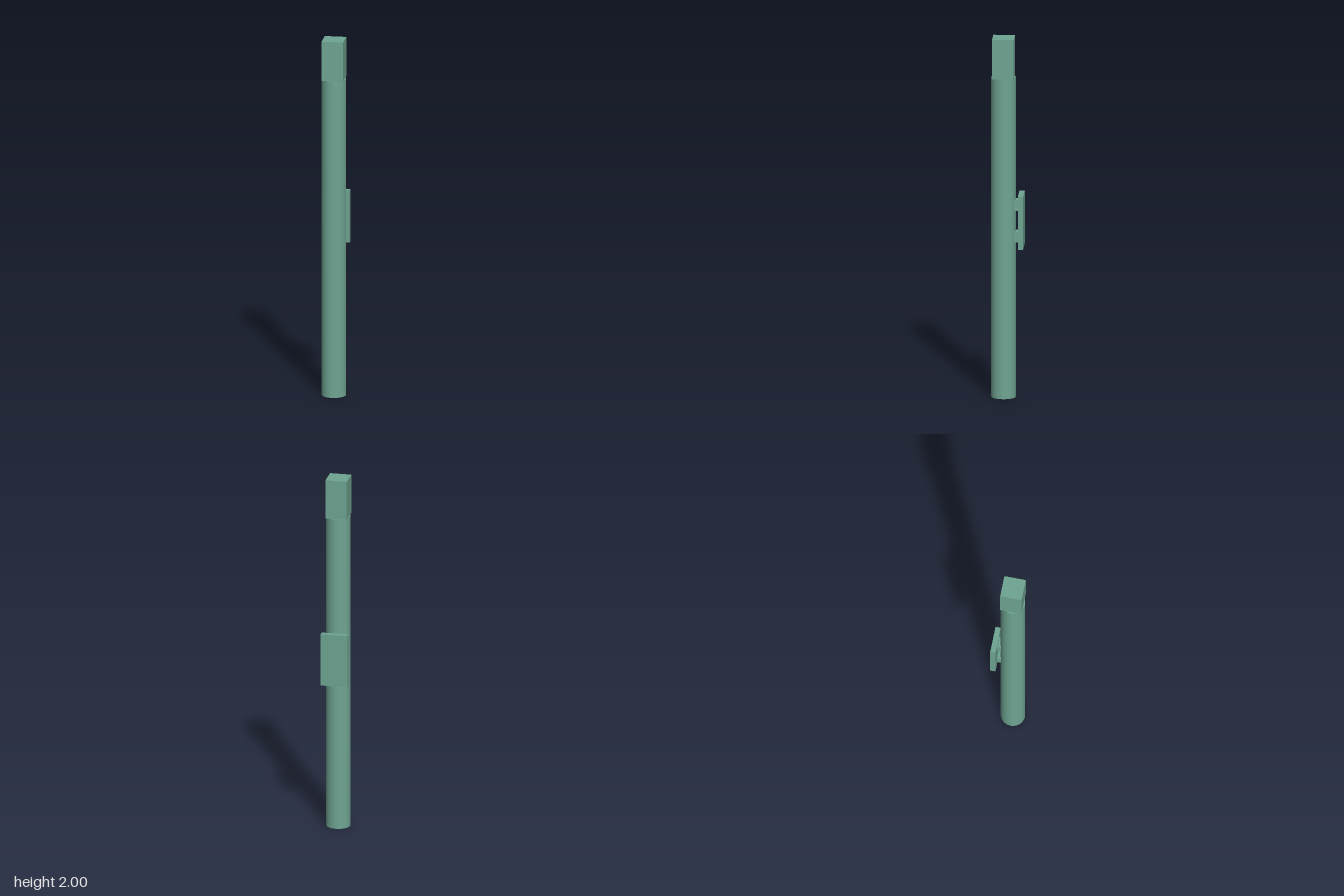
import * as THREE from 'three';

const AXIS_Z = 0.021; // shared axis of tube and head block

export function createModel() {
  const model = new THREE.Group();
  const green = new THREE.MeshStandardMaterial({ color: 0x6fa592 });
  green.name = 'sage green';

  const add = (name, geometry, x, y, z) => {
    const mesh = new THREE.Mesh(geometry, green);
    mesh.name = name;
    mesh.position.set(x, y, z);
    model.add(mesh);
  };

  // Hollow tube: round outline with a bore, extruded upwards
  const outer = 0.0665, bore = 0.028, tubeHeight = 1.78;
  const ring = new THREE.Shape().absarc(0, 0, outer, 0, Math.PI * 2, false);
  ring.holes.push(new THREE.Path().absarc(0, 0, bore, 0, Math.PI * 2, true));
  const tube = new THREE.ExtrudeGeometry(ring, { depth: tubeHeight, bevelEnabled: false, curveSegments: 48 });
  // Smooth the walls: radial normals, outward outside and inward in the bore
  const p = tube.attributes.position, n = tube.attributes.normal;
  for (let i = 0; i < p.count; i++) {
    if (Math.abs(n.getZ(i)) > 0.5) continue;
    const r = Math.hypot(p.getX(i), p.getY(i));
    const s = (r > (outer + bore) / 2 ? 1 : -1) / r;
    n.setXYZ(i, p.getX(i) * s, p.getY(i) * s, 0);
  }
  tube.rotateX(-Math.PI / 2);
  add('tube', tube, 0, 0, AXIS_Z);

  // Square head on top of the tube
  add('headBlock', new THREE.BoxGeometry(0.118, 2 - tubeHeight, 0.118), 0, (2 + tubeHeight) / 2, AXIS_Z);

  // Mounting plate behind the tube, held by two standoffs
  add('backPlate', new THREE.BoxGeometry(0.148, 0.295, 0.029), 0, 0.983, -0.0755);
  for (const [name, y] of [['lowerStandoff', 0.895], ['upperStandoff', 1.071]]) {
    add(name, new THREE.BoxGeometry(0.06, 0.058, 0.027), 0, y, -0.0485);
  }

  return model;
}
